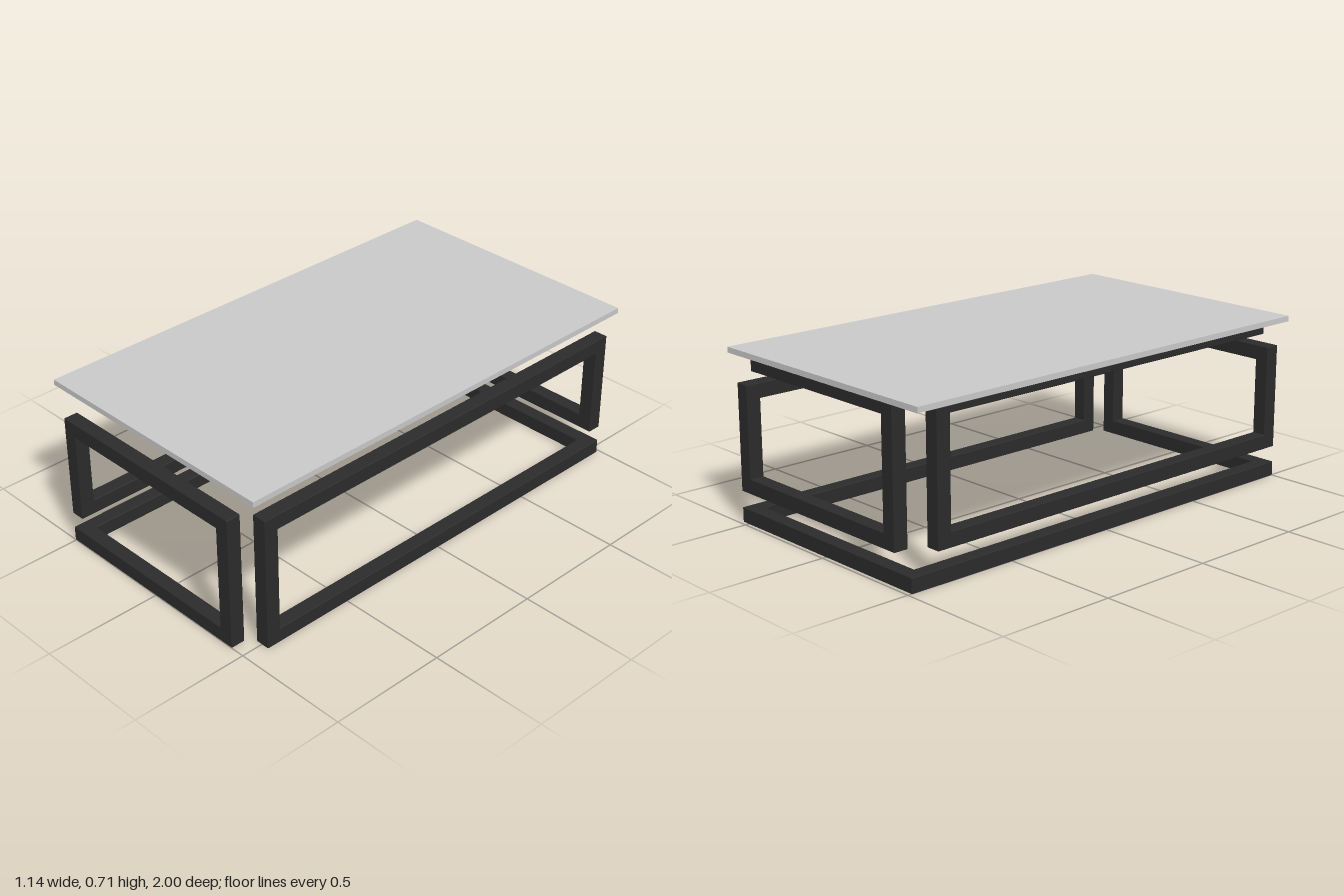
import * as THREE from 'three';
import { RoundedBoxGeometry } from 'three/addons/geometries/RoundedBoxGeometry.js';

export function createModel() {
  const model = new THREE.Group();
  model.name = 'coffeeTable';

  const darkMetal = new THREE.MeshStandardMaterial({ color: 0x2b2b2b });
  darkMetal.name = 'dark metal';
  const paleTop = new THREE.MeshStandardMaterial({ color: 0xc8c8c8 });
  paleTop.name = 'pale grey top';

  // Table top: a thin slab
  const top = new THREE.Mesh(new THREE.BoxGeometry(1.138, 0.023, 1.986), paleTop);
  top.name = 'tableTop';
  top.position.set(0, 0.6965, -0.007);
  model.add(top);

  // Centre lines of the square bar on each axis
  const BAR = 0.062;
  const xA = -0.474, xB = -0.379, xC = 0.409, xD = 0.504;
  const y0 = 0.031, y1 = 0.16, y2 = 0.539, y3 = 0.664;
  const zF = 0.969, zI = 0.876, zJ = -0.829, zK = -0.954;

  // One continuous bar that bends around all sides and closes on itself
  const path = [
    [xC, y0, zF], [xA, y0, zF], [xA, y0, zK], [xD, y0, zK], [xD, y0, zI], // base
    [xD, y2, zI], [xD, y2, zK], [xD, y1, zK], // right side
    [xB, y1, zK], [xB, y3, zK], // back
    [xC, y3, zK], [xC, y3, zI], [xA, y3, zI], [xA, y3, zJ], // under the top
    [xA, y1, zJ], [xA, y1, zF], // left side
    [xA, y2, zF], [xC, y2, zF], // front
  ].map((p) => new THREE.Vector3(...p));

  const frame = new THREE.Group();
  frame.name = 'frame';
  path.forEach((a, i) => {
    const b = path[(i + 1) % path.length];
    const size = [Math.abs(b.x - a.x), Math.abs(b.y - a.y), Math.abs(b.z - a.z)].map((d) => d + BAR);
    const bar = new THREE.Mesh(new RoundedBoxGeometry(...size, 1, 0.003), darkMetal);
    bar.position.addVectors(a, b).multiplyScalar(0.5);
    bar.name = 'frameBar' + (i + 1);
    frame.add(bar);
  });
  model.add(frame);

  return model;
}
